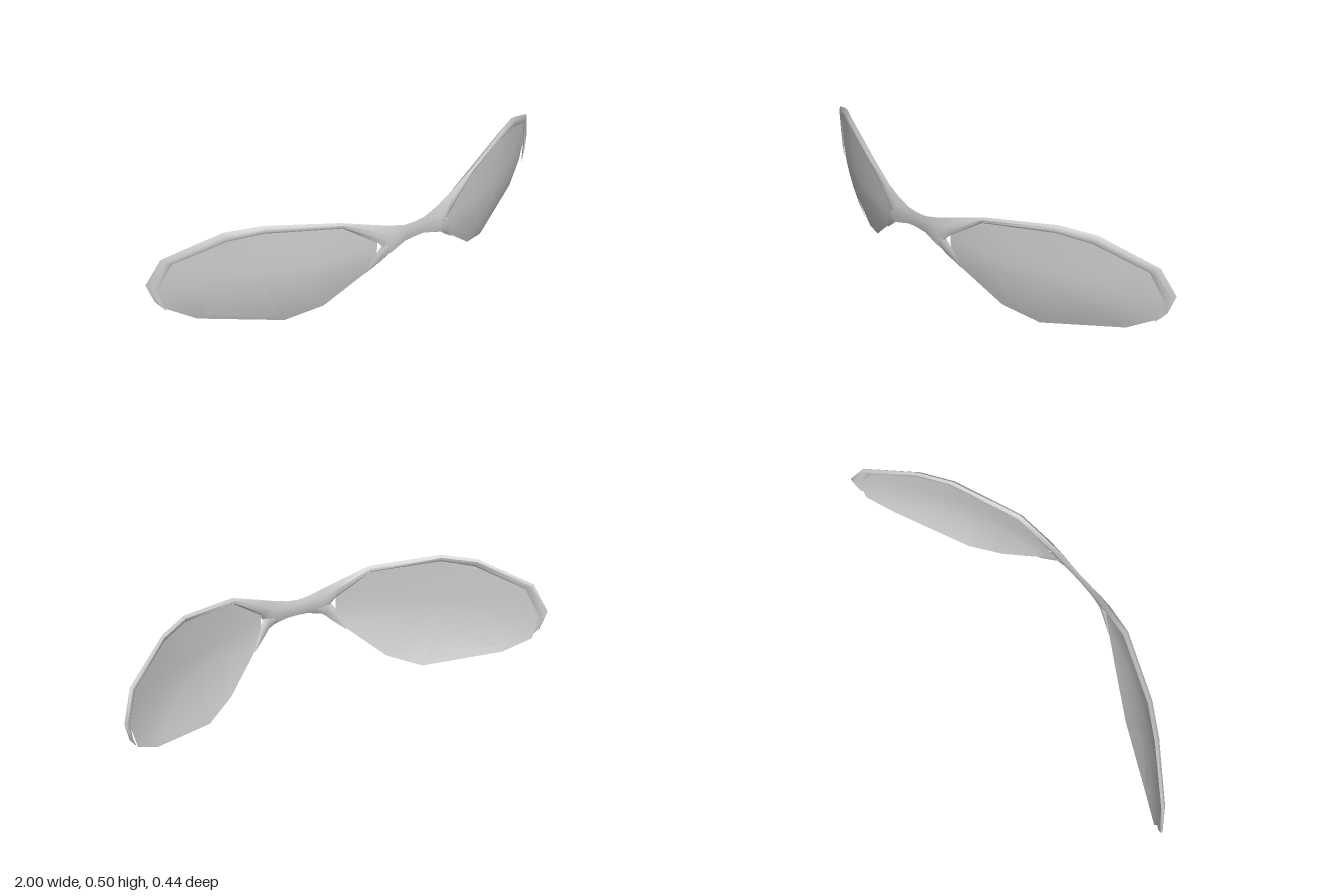
import * as THREE from 'three';
import { toCreasedNormals } from 'three/addons/utils/BufferGeometryUtils.js';

const grey = new THREE.MeshStandardMaterial({ color: 0xcccccc });
const greyThin = new THREE.MeshStandardMaterial({ color: 0xcccccc, side: THREE.DoubleSide });

// Wrapped lens surface: curves back with x and tucks in below mid height
const lensZ = (x, y) =>
  0.195 - 0.324 * (x - 0.18) - 0.391 * (x - 0.18) * (x - 0.52) - 0.68 * Math.max(0, 0.3 - y) ** 2;

function makeGeometry(points, index) {
  const g = new THREE.BufferGeometry();
  g.setAttribute('position', new THREE.Float32BufferAttribute(points.flat(), 3));
  g.setIndex(index);
  g.computeVertexNormals();
  return g;
}

// Lens: rings shrinking from the faceted outline to the centre
const outline = [
  [0.18, 0.335], [0.33, 0.437], [0.61, 0.466], [0.74, 0.442], [0.92, 0.34], [0.968, 0.215],
  [0.94, 0.118], [0.83, 0.055], [0.52, 0], [0.38, 0.053], [0.22, 0.193], [0.182, 0.27],
];
function lensGeometry(side) {
  const rings = 8, n = outline.length, pts = [], idx = [];
  for (let r = 0; r <= rings; r++) {
    for (const [ox, oy] of outline) {
      const s = 1 - r / rings;
      const x = 0.57 + (ox - 0.57) * s, y = 0.25 + (oy - 0.25) * s;
      pts.push([side * x, y, lensZ(x, y)]);
    }
  }
  for (let r = 0; r < rings; r++) {
    for (let j = 0; j < n; j++) {
      const k = (j + 1) % n;
      const a = r * n + j, b = r * n + k, c = a + n, d = b + n;
      const tris = r < rings - 1 ? [[a, c, b], [b, c, d]] : [[a, c, b]];
      for (const t of tris) idx.push(...(side > 0 ? t : t.reverse()));
    }
  }
  return makeGeometry(pts, idx);
}

// Glint: small four-cornered patch following the lens, shifted off it by dz
function glintGeometry(side, [p, q, r, s], dz) {
  const n = 5, pts = [], idx = [];
  for (let i = 0; i <= n; i++) {
    for (let j = 0; j <= n; j++) {
      const u = j / n, v = i / n;
      const at = (k) => (p[k] * (1 - u) + q[k] * u) * (1 - v) + (s[k] * (1 - u) + r[k] * u) * v;
      const x = at(0), y = at(1);
      pts.push([side * x, y, lensZ(x, y) + dz]);
      if (i < n && j < n) {
        const a = i * (n + 1) + j, c = a + n + 1;
        const f = [[a, c, a + 1], [a + 1, c, c + 1]];
        for (const t of f) idx.push(...(side > 0 ? t : t.reverse()));
      }
    }
  }
  return makeGeometry(pts, idx);
}

// Loft of six-sided sections; station = [outer point, inner point, half depth]
function loft(stations) {
  const pts = [], idx = [], m = 6;
  const section = [[0, 0.3], [0.3, 1], [0.7, 1], [1, 0.3], [0.7, -0.8], [0.3, -0.8]];
  stations.forEach(([o, n, t], i) => {
    section.forEach(([w, d], j) => {
      const p = o.map((v, k) => v + (n[k] - v) * w);
      p[2] += d * t;
      pts.push(p);
      if (i < stations.length - 1) {
        const a = i * m + j, b = i * m + (j + 1) % m;
        idx.push(a, b, a + m, b, b + m, a + m);
      }
    });
  });
  return toCreasedNormals(makeGeometry(pts, idx), 0.8);
}
const mirror = (stations) =>
  stations.map(([o, n, t]) => [[-o[0], o[1], o[2]], [-n[0], n[1], n[2]], t]).reverse();

// Half of the brow rim, from the bridge to its pointed outer end
const rim = [
  [[0.05, 0.365, 0.207], [0.05, 0.288, 0.207], 0.008],
  [[0.12, 0.385, 0.2], [0.13, 0.264, 0.213], 0.012],
  [[0.19, 0.41, 0.188], [0.18, 0.325, 0.2], 0.014],
  [[0.33, 0.46, 0.16], [0.325, 0.432, 0.159], 0.013],
  [[0.61, 0.495, 0.035], [0.61, 0.462, 0.042], 0.012],
  [[0.745, 0.475, -0.045], [0.735, 0.438, -0.031], 0.012],
  [[0.95, 0.362, -0.18], [0.917, 0.337, -0.158], 0.011],
  [[1, 0.24, -0.224], [0.963, 0.215, -0.196], 0.009],
  [[0.975, 0.16, -0.207], [0.953, 0.15, -0.19], 0.006],
  [[0.942, 0.118, -0.181], [0.938, 0.118, -0.179], 0.001],
];
const bridge = [[[0, 0.36, 0.207], [0, 0.29, 0.207], 0.006]];

// Nose arm: tapers down the inner edge of the lens
const noseArm = [
  [[0.1, 0.335, 0.207], [0.1, 0.28, 0.207], 0.008],
  [[0.15, 0.33, 0.206], [0.135, 0.26, 0.207], 0.011],
  [[0.19, 0.275, 0.195], [0.17, 0.228, 0.194], 0.008],
  [[0.226, 0.19, 0.176], [0.22, 0.188, 0.176], 0.001],
];

const glints = {
  left: [[0.38, 0.215], [0.52, 0.2], [0.505, 0.045], [0.41, 0.08]],
  right: [[0.62, 0.24], [0.81, 0.24], [0.81, 0.08], [0.545, 0.03]],
};

export function createModel() {
  const group = new THREE.Group();
  group.name = 'sunglasses';
  const add = (name, geometry, material) => {
    const mesh = new THREE.Mesh(geometry, material);
    mesh.name = name;
    group.add(mesh);
  };

  add('browRim', loft([...mirror(rim), ...bridge, ...rim]), grey);
  for (const [label, side] of [['left', 1], ['right', -1]]) {
    add(label + 'Lens', lensGeometry(side), greyThin);
    add(label + 'NoseArm', loft(side > 0 ? noseArm : mirror(noseArm)), greyThin);
    add(label + 'GlintFront', glintGeometry(side, glints[label], 0.003), greyThin);
    add(label + 'GlintBack', glintGeometry(side, glints[label], -0.003), greyThin);
  }
  return group;
}
